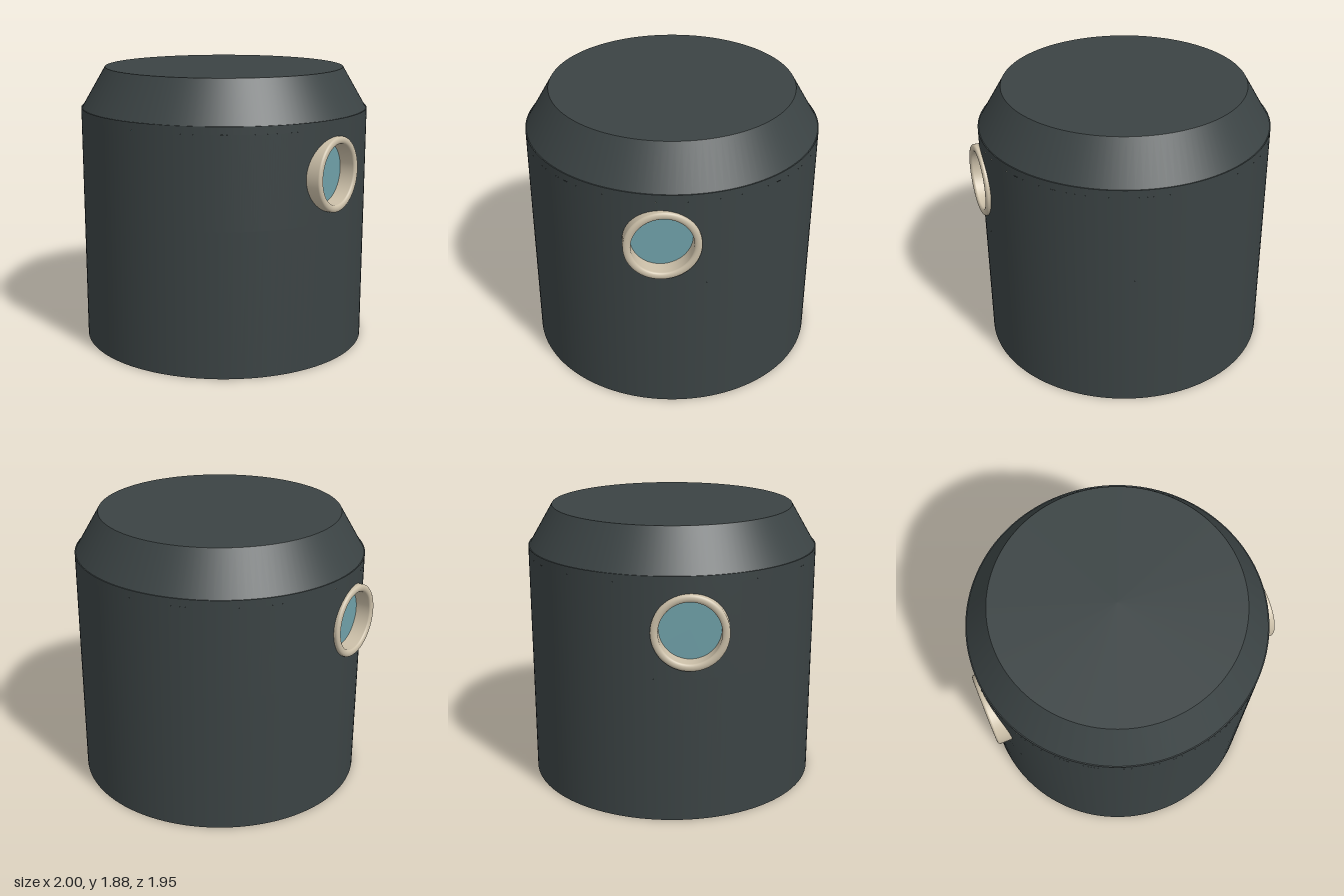
import * as THREE from 'three';

const R = 0.975;          // body radius
const WALL = 1.61;        // height of the straight wall
const PORT = { y: 1.26, z: 0.13, outer: 0.243, inner: 0.195 };
const HALF = 0.3;         // half size of the wall patch around a port
const SEG = 128;

const dark = new THREE.MeshStandardMaterial({ color: 0x3b4344, side: THREE.DoubleSide });
const cream = new THREE.MeshStandardMaterial({ color: 0xcbbfa8 });
const teal = new THREE.MeshStandardMaterial({ color: 0x6fa0a8, side: THREE.DoubleSide });

function part(parent, name, geometry, material) {
  const mesh = new THREE.Mesh(geometry, material);
  mesh.name = name;
  parent.add(mesh);
  return mesh;
}

// Open cylindrical band between two heights and two angles
function band(parent, name, y0, y1, start = 0, length = Math.PI * 2) {
  const geo = new THREE.CylinderGeometry(R, R, y1 - y0, SEG, 1, true, start, length);
  part(parent, name, geo, dark).position.y = (y0 + y1) / 2;
}

// Square piece of curved wall with a round hole, facing +x
function holedPatch() {
  const hole = 0.22;
  const geo = new THREE.RingGeometry(1, 2, 64, 4);
  const pos = geo.attributes.position, nor = geo.attributes.normal;
  for (let i = 0; i < pos.count; i++) {
    const u = pos.getX(i), v = pos.getY(i);
    const r = Math.hypot(u, v), t = r - 1;
    const c = u / r, s = v / r;
    const edge = HALF / Math.max(Math.abs(c), Math.abs(s));
    const d = THREE.MathUtils.lerp(hole, edge, t);
    const z = PORT.z - c * d, x = Math.sqrt(R * R - z * z);
    pos.setXYZ(i, x, PORT.y + s * d, z);
    nor.setXYZ(i, x / R, 0, z / R);
  }
  return geo;
}

// Ring with a softly rounded lip, revolved about its own axis
function ringGeometry() {
  const mid = (PORT.outer + PORT.inner) / 2, half = (PORT.outer - PORT.inner) / 2;
  const pts = [new THREE.Vector2(PORT.outer, 0.84)];
  for (let i = 0; i <= 10; i++) {
    const a = Math.PI * i / 10;
    pts.push(new THREE.Vector2(mid + half * Math.cos(a), 0.984 + 0.016 * Math.sin(a)));
  }
  pts.push(new THREE.Vector2(PORT.inner, 0.84));
  return new THREE.LatheGeometry(pts.reverse(), 64).scale(1, 1, 1);
}

export function createModel() {
  const model = new THREE.Group();
  model.name = 'cappedDrum';

  // Wall, left open around the two ports
  const yLow = PORT.y - HALF, yHigh = PORT.y + HALF;
  const back = Math.acos((PORT.z - HALF) / R);
  const front = Math.acos((PORT.z + HALF) / R);
  band(model, 'lowerWall', 0, yLow);
  band(model, 'upperWall', yHigh, WALL);
  band(model, 'frontWall', yLow, yHigh, -front, front * 2);
  band(model, 'backWall', yLow, yHigh, back, (Math.PI - back) * 2);

  // Base, shoulder step, tapered shoulder and flat top
  part(model, 'base', new THREE.CircleGeometry(R, SEG).rotateX(Math.PI / 2), dark);
  part(model, 'shoulderStep', new THREE.RingGeometry(0.94, R, SEG).rotateX(-Math.PI / 2), dark).position.y = WALL;
  part(model, 'shoulder', new THREE.CylinderGeometry(0.81, 0.968, 1.88 - WALL, SEG), dark).position.y = (1.88 + WALL) / 2;

  // Ports on both sides
  const patch = holedPatch(), ring = ringGeometry();
  for (const [name, side] of [['left', 1], ['right', -1]]) {
    const wall = patch.clone();
    if (side < 0) {
      const p = wall.attributes.position, n = wall.attributes.normal, idx = wall.index;
      for (let i = 0; i < p.count; i++) { p.setX(i, -p.getX(i)); n.setX(i, -n.getX(i)); }
      for (let i = 0; i < idx.count; i += 3) {
        const a = idx.getX(i);
        idx.setX(i, idx.getX(i + 1));
        idx.setX(i + 1, a);
      }
    }
    part(model, name + 'PortWall', wall, dark);

    const port = new THREE.Group();
    port.name = name + 'Port';
    port.position.set(0, PORT.y, PORT.z);
    port.rotation.z = -side * Math.PI / 2;
    part(port, 'ring', ring, cream).material.side = THREE.DoubleSide;
    part(port, 'glass', new THREE.CircleGeometry(0.2, 64).rotateX(-Math.PI / 2), teal).position.y = 0.89;
    model.add(port);
  }
  return model;
}
